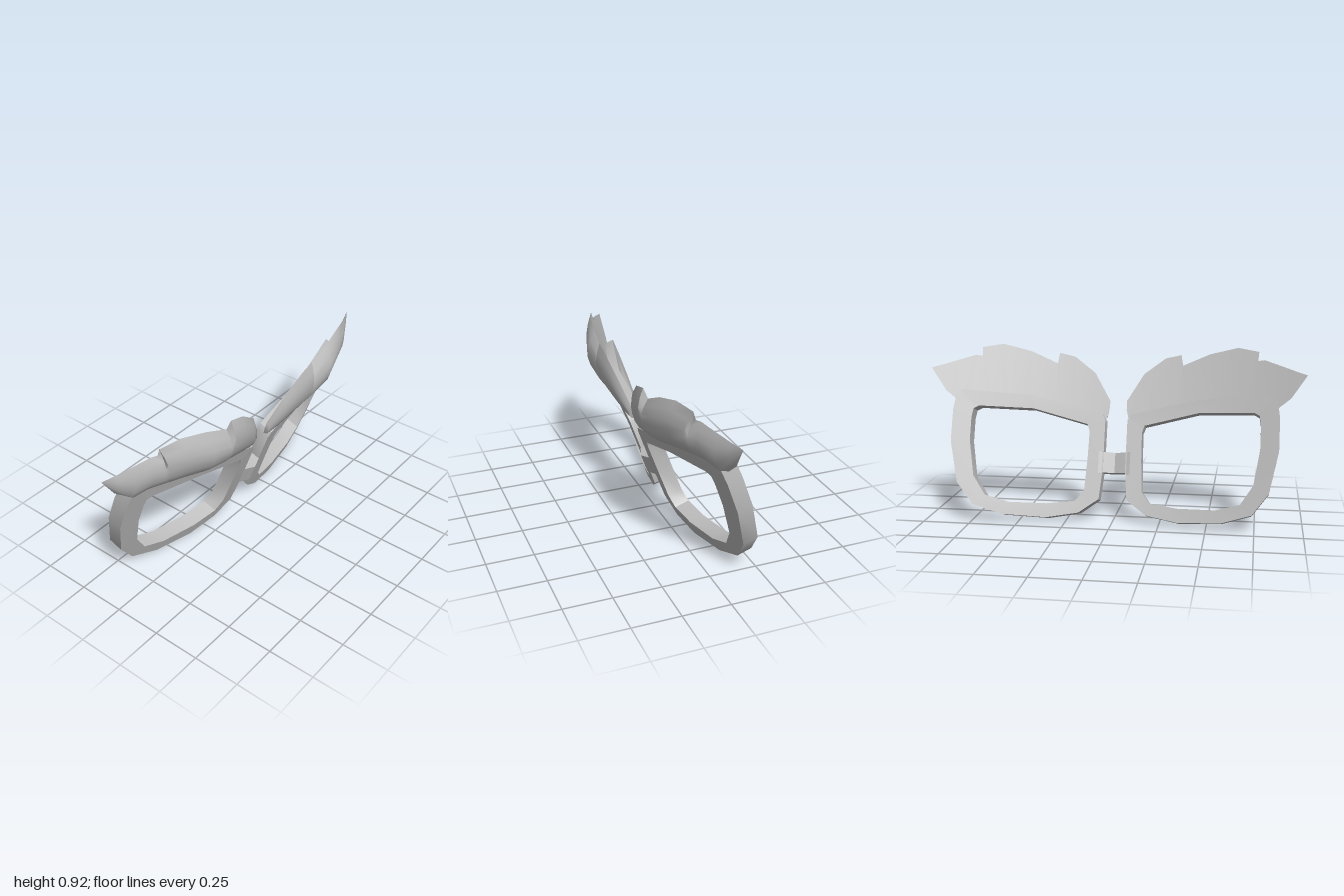
import * as THREE from 'three';
import { toCreasedNormals } from 'three/addons/utils/BufferGeometryUtils.js';

const grey = new THREE.MeshStandardMaterial({ color: 0xbcbcbc });
grey.name = 'grey';

// Leaning, wrapped surface on which all parts sit
const surface = (x, y) => 0.36 * y - 0.065 - 0.215 * x * x;

// Skins a row of closed sections; side -1 mirrors the part across x = 0
function loft(name, sections, side, closed, crease) {
  const pos = [];
  const n = sections[0].length;
  const last = closed ? sections.length : sections.length - 1;
  const tri = (a, b, c) => {
    for (const p of side > 0 ? [a, b, c] : [a, c, b]) pos.push(side * p[0], p[1], p[2]);
  };
  for (let i = 0; i < last; i++) {
    const s = sections[i], t = sections[(i + 1) % sections.length];
    for (let j = 0; j < n; j++) {
      const k = (j + 1) % n;
      tri(s[j], t[j], t[k]);
      tri(s[j], t[k], s[k]);
    }
  }
  const geometry = new THREE.BufferGeometry();
  geometry.setAttribute('position', new THREE.Float32BufferAttribute(pos, 3));
  geometry.computeVertexNormals();
  const mesh = new THREE.Mesh(toCreasedNormals(geometry, crease), grey);
  mesh.name = name;
  return mesh;
}

// Front point on the surface, and its partner on the back
const front = (x, y, lift = 0) => [x, y, surface(x, y) + lift];
const back = ([x, y, z]) => [x, y + 0.027, z - 0.075];

// Rim: outer x, y and opening x, y, around one lens
const RIM = [
  [0.06, 0.5, 0.142, 0.44], [0.08, 0.53, 0.155, 0.475], [0.45, 0.622, 0.45, 0.555],
  [0.82, 0.662, 0.735, 0.575], [0.852, 0.645, 0.762, 0.562], [0.865, 0.56, 0.77, 0.52],
  [0.865, 0.4, 0.77, 0.4], [0.82, 0.19, 0.74, 0.22], [0.735, 0.075, 0.675, 0.12],
  [0.58, 0.02, 0.55, 0.08], [0.35, 0, 0.35, 0.07], [0.18, 0.025, 0.2, 0.085],
  [0.075, 0.095, 0.155, 0.14], [0.06, 0.25, 0.145, 0.3],
];

function rim(name, side) {
  const sections = RIM.map(([ox, oy, ix, iy]) => {
    const o = front(ox, oy), i = front(ix, iy);
    return [o, back(o), back(i), i];
  });
  return loft(name, sections, side, true, 0.7);
}

// Brow: top x, y, bottom x, y and bulge, from the nose to the outer tip
const BROW = [
  [0.047, 0.57, 0.047, 0.57, 0], [0.045, 0.615, 0.06, 0.52, 0.025],
  [0.135, 0.76, 0.12, 0.54, 0.045], [0.25, 0.845, 0.22, 0.567, 0.06],
  [0.335, 0.865, 0.32, 0.593, 0.075], [0.345, 0.81, 0.35, 0.6, 0.08],
  [0.49, 0.875, 0.48, 0.628, 0.1], [0.64, 0.915, 0.6, 0.641, 0.08],
  [0.75, 0.9, 0.69, 0.65, 0.07], [0.725, 0.85, 0.73, 0.655, 0.065],
  [0.78, 0.86, 0.79, 0.655, 0.06], [0.87, 0.835, 0.85, 0.62, 0.05],
  [0.94, 0.815, 0.92, 0.68, 0.03], [1, 0.8, 1, 0.8, 0],
];
// Share of the bulge from the bottom edge to the thin top edge
const PUFF = [[0.94, 0.8], [0.75, 1], [0.55, 0.97], [0.38, 0.82], [0.18, 0.45]];

function brow(name, side) {
  const sections = BROW.map(([tx, ty, bx, by, bulge]) => {
    const at = (t, b) => front(tx + (bx - tx) * t, ty + (by - ty) * t, b * bulge - 0.035);
    return [at(0, 0), at(1, 0), ...PUFF.map(([t, b]) => at(t, b))];
  });
  return loft(name, sections, side, false, 1);
}

// Nose bridge, bowed forward in the middle
function bridge() {
  const sections = [[-0.085, 0.34, 0.225, -0.006], [-0.06, 0.335, 0.23, 0.002], [0, 0.325, 0.222, 0.026],
    [0.06, 0.335, 0.23, 0.002], [0.085, 0.34, 0.225, -0.006]].map(([x, top, bottom, lift]) => {
    const t = front(x, top, lift), b = front(x, bottom, lift);
    return [t, back(t), back(b), b];
  });
  return loft('noseBridge', sections, 1, false, 0.7);
}

export function createModel() {
  const model = new THREE.Group();
  model.name = 'browGlasses';
  for (const [label, side] of [['left', 1], ['right', -1]]) {
    model.add(rim(label + 'Rim', side), brow(label + 'Eyebrow', side));
  }
  model.add(bridge());
  return model;
}
